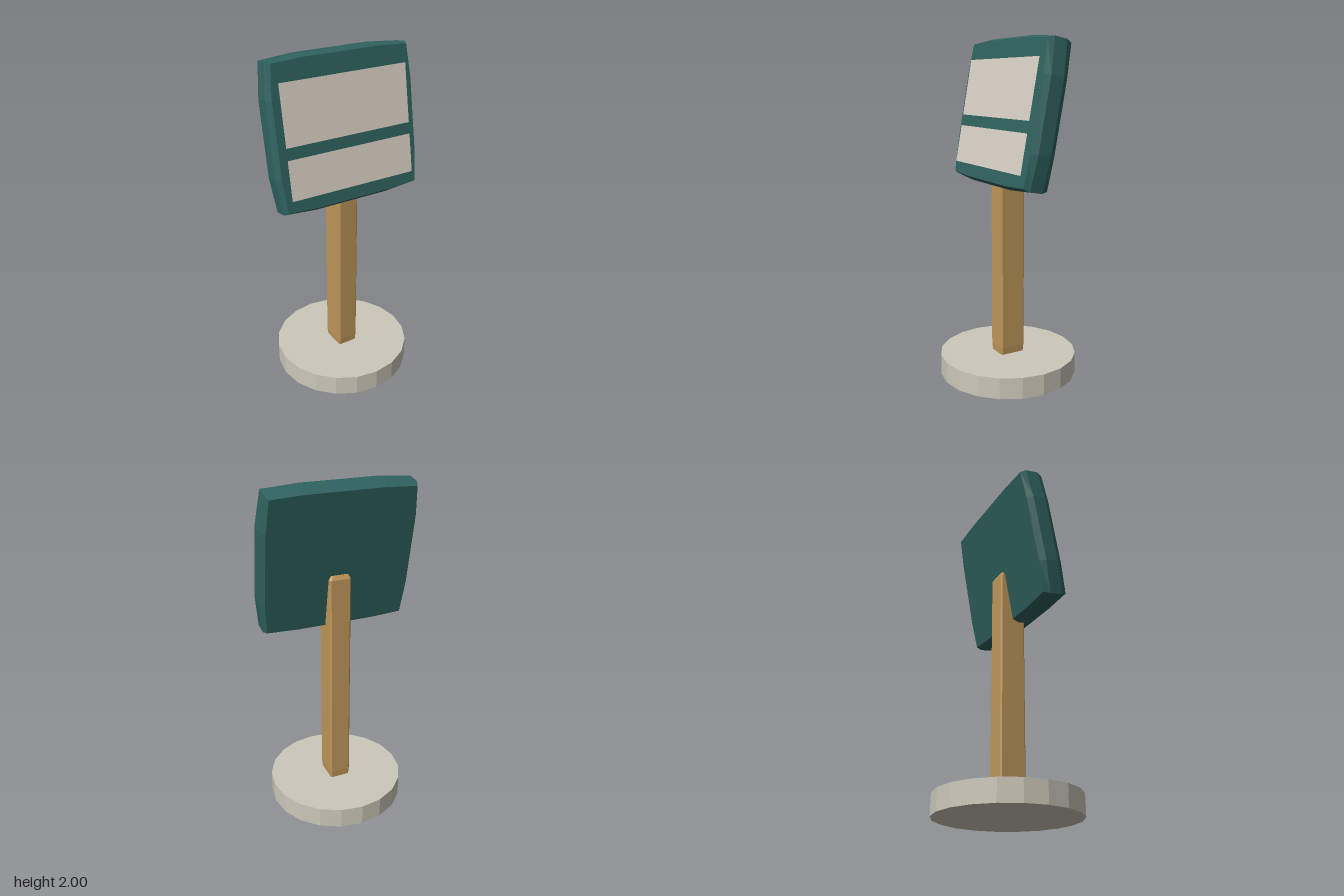
import * as THREE from 'three';

const paint = (name, color, extra = {}) =>
  Object.assign(new THREE.MeshStandardMaterial({ color, flatShading: true, ...extra }), { name });

// Closed solid through equal-length rings of [x, y], counter-clockwise, stacked along +z.
function loft(sections) {
  const n = sections[0].ring.length;
  const pos = sections.flatMap(({ ring, z }) => ring.flatMap(([x, y]) => [x, y, z]));
  const index = [];
  for (let s = 0; s < sections.length - 1; s++) {
    for (let i = 0; i < n; i++) {
      const a = s * n + i, b = s * n + (i + 1) % n;
      index.push(a, b, b + n, a, b + n, a + n);
    }
  }
  const last = (sections.length - 1) * n;
  for (let i = 1; i < n - 1; i++) {
    index.push(0, i + 1, i, last, last + i, last + i + 1);
  }
  const g = new THREE.BufferGeometry();
  g.setAttribute('position', new THREE.Float32BufferAttribute(pos, 3));
  g.setIndex(index);
  const flat = g.toNonIndexed();
  flat.computeVertexNormals();
  return flat;
}

// Rectangle whose sides bow outwards to sideX and topY between its corners.
function bowedRing(cornerX, cornerY, sideX, topY) {
  return [
    [cornerX, -cornerY], [sideX, -0.21], [sideX, 0.21], [cornerX, cornerY],
    [0.23, topY], [-0.23, topY], [-cornerX, cornerY],
    [-sideX, 0.21], [-sideX, -0.21], [-cornerX, -cornerY],
    [-0.23, -topY], [0.23, -topY],
  ];
}

// Rectangle with cut corners.
function chamferedRing(hx, hy, c) {
  return [
    [hx, -hy + c], [hx, hy - c], [hx - c, hy], [-hx + c, hy],
    [-hx, hy - c], [-hx, -hy + c], [-hx + c, -hy], [hx - c, -hy],
  ];
}

export function createModel() {
  const model = new THREE.Group();
  model.name = 'signpost';
  const stone = paint('pale stone', 0xcdc8ba);
  const wood = paint('tan wood', 0xc0985a);
  const green = paint('dark teal', 0x2f625f);
  const cream = paint('cream panel', 0xd8d0c4, { side: THREE.DoubleSide });

  const add = (parent, name, geometry, material) => {
    const mesh = new THREE.Mesh(geometry, material);
    mesh.name = name;
    parent.add(mesh);
    return mesh;
  };

  // Round foot
  add(model, 'base', new THREE.CylinderGeometry(0.413, 0.413, 0.125, 20), stone).position.y = 0.0625;

  // Square post with slightly eased edges, running up behind the board
  const post = add(model, 'post', loft([
    { ring: chamferedRing(0.059, 0.074, 0.008), z: 0.1 },
    { ring: chamferedRing(0.064, 0.079, 0.008), z: 0.17 },
    { ring: chamferedRing(0.064, 0.079, 0.008), z: 1.455 },
    { ring: chamferedRing(0.052, 0.067, 0.008), z: 1.478 },
  ]), wood);
  post.rotation.x = -Math.PI / 2;

  // Board leaning back
  const sign = new THREE.Group();
  sign.name = 'sign';
  sign.position.y = 1.575;
  sign.rotation.x = -0.18;
  model.add(sign);

  const face = bowedRing(0.417, 0.395, 0.432, 0.405);
  const rim = bowedRing(0.43, 0.408, 0.455, 0.424);
  add(sign, 'board', loft([
    { ring: face, z: -0.075 }, { ring: rim, z: -0.04 },
    { ring: rim, z: 0.04 }, { ring: face, z: 0.075 },
  ]), green);

  // Blank notice panels on the front
  for (const [name, bottom, top] of [['upperPanel', -0.04, 0.296], ['lowerPanel', -0.33, -0.106]]) {
    add(sign, name, new THREE.PlaneGeometry(0.784, top - bottom), cream)
      .position.set(0, (top + bottom) / 2, 0.09);
  }
  return model;
}
